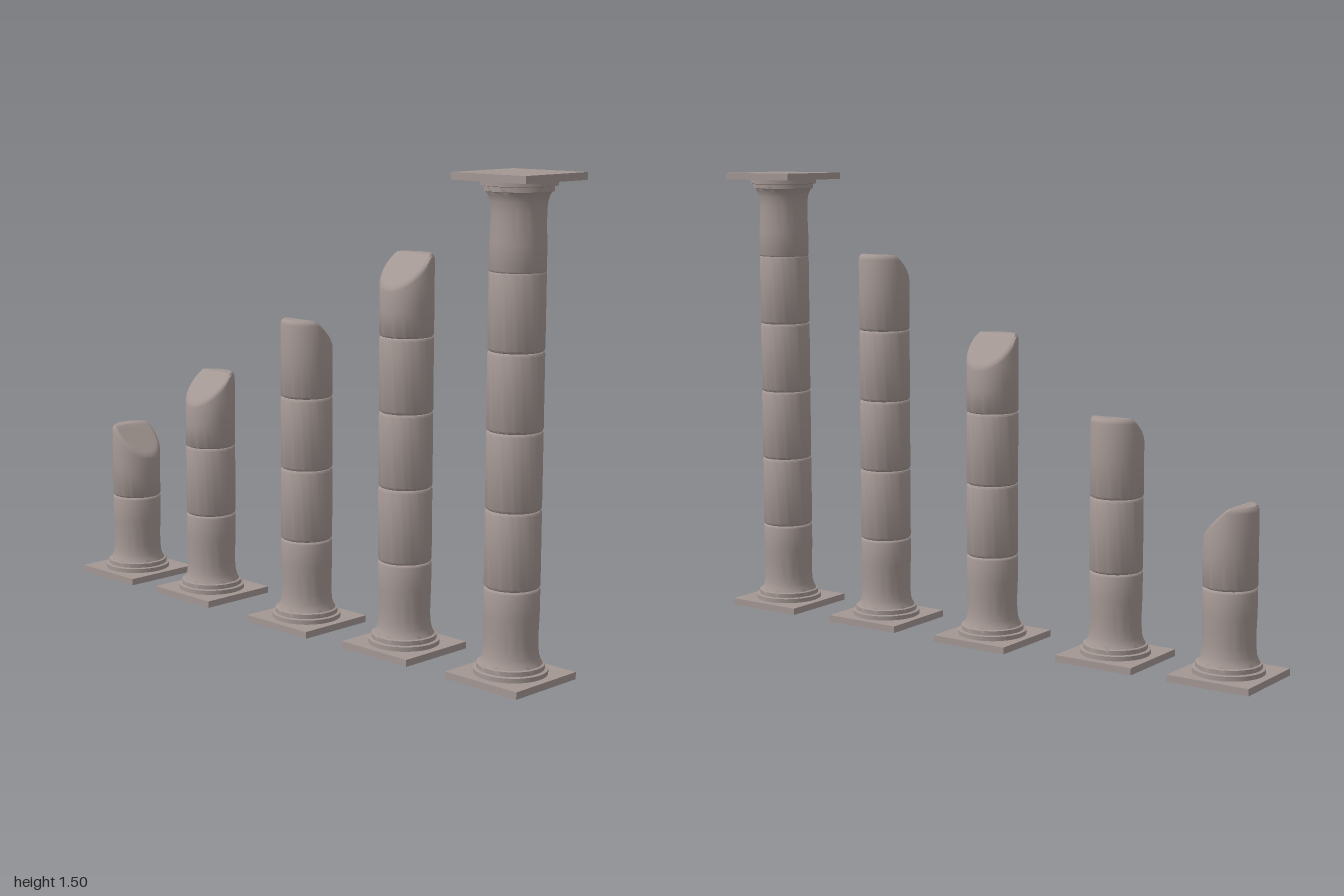
import * as THREE from 'three';
import { toCreasedNormals } from 'three/addons/utils/BufferGeometryUtils.js';

const R = 0.083;          // shaft radius
const BASE = 0.284;       // height of base and capital blocks
const DRUM = 0.2325;      // height of one drum
const PLATE = 0.022;      // square slab thickness
const BROKEN = 0.25;      // height of a broken top drum

const stone = new THREE.MeshStandardMaterial({ color: 0xa39793 });
stone.name = 'warm grey stone';

function lathe(points) {
  return new THREE.LatheGeometry(points.map(p => new THREE.Vector2(...p)), 48);
}

function part(name, geometry, y) {
  const mesh = new THREE.Mesh(toCreasedNormals(geometry, 0.65), stone);
  mesh.name = name;
  mesh.position.y = y;
  return mesh;
}

// Square slab with stepped rings flaring into the shaft
function footing(name, y) {
  const group = new THREE.Group();
  group.name = name;
  group.position.y = y;
  group.add(part('slab', new THREE.BoxGeometry(0.273, PLATE, 0.273), PLATE / 2));
  group.add(part('flaredBlock', lathe([
    [0.111, PLATE], [0.111, 0.036], [0.101, 0.038], [0.101, 0.052], [0.094, 0.054],
    [0.088, 0.064], [0.083, 0.08], [0.0805, 0.11], [0.0805, 0.15], [0.0825, 0.2],
    [R, BASE - 0.008], [R - 0.002, BASE - 0.003], [R - 0.006, BASE], [0, BASE],
  ]), 0));
  return group;
}

// Drum with softly rounded rims
function drum(y) {
  return part('drum', lathe([
    [0, 0], [R - 0.006, 0], [R - 0.002, 0.003], [R, 0.008],
    [R, DRUM - 0.008], [R - 0.002, DRUM - 0.003], [R - 0.006, DRUM], [0, DRUM],
  ]), y);
}

// Drum broken off along a slope that falls toward (dx, dz)
function brokenDrum(y, dx, dz) {
  const profile = [
    [0, 0], [R - 0.006, 0], [R - 0.002, 0.003], [R, 0.008], [R, 0.12],
    [R, BROKEN - 0.016], [R - 0.003, BROKEN - 0.006], [R - 0.01, BROKEN],
  ];
  for (let i = 13; i >= 0; i--) profile.push([(R - 0.01) * i / 14, BROKEN]);
  const geometry = lathe(profile);
  const pos = geometry.attributes.position;
  for (let i = 0; i < pos.count; i++) {
    const s = pos.getX(i) * dx + pos.getZ(i) * dz;
    const drop = 0.93 * Math.max(0, s + 0.027);
    pos.setY(i, pos.getY(i) * (1 - drop / BROKEN));
  }
  return part('brokenDrum', geometry, y);
}

function column(name, z, lift, drums, fall) {
  const group = new THREE.Group();
  group.name = name;
  group.position.set(0, lift, z);
  group.add(footing('base', 0));
  for (let i = 0; i < drums; i++) group.add(drum(BASE + i * DRUM));
  const top = BASE + drums * DRUM;
  if (fall) {
    group.add(brokenDrum(top, ...fall));
  } else {
    // The capital is the base turned upside down
    const capital = footing('capital', top + BASE - 0.006);
    capital.rotation.x = Math.PI;
    group.add(capital);
  }
  return group;
}

export function createModel() {
  const model = new THREE.Group();
  model.name = 'ruinedColumns';
  model.add(
    column('wholeColumn', 0.8635, 0.006, 4, null),
    column('tallBrokenColumn', 0.434, 0.006, 3, [-1, 0]),
    column('middleBrokenColumn', 0, 0, 2, [1, 0]),
    column('shortBrokenColumn', -0.466, 0.006, 1, [-1, 0]),
    column('stumpColumn', -0.8635, 0.006, 0, [0, 1]),
  );
  return model;
}
